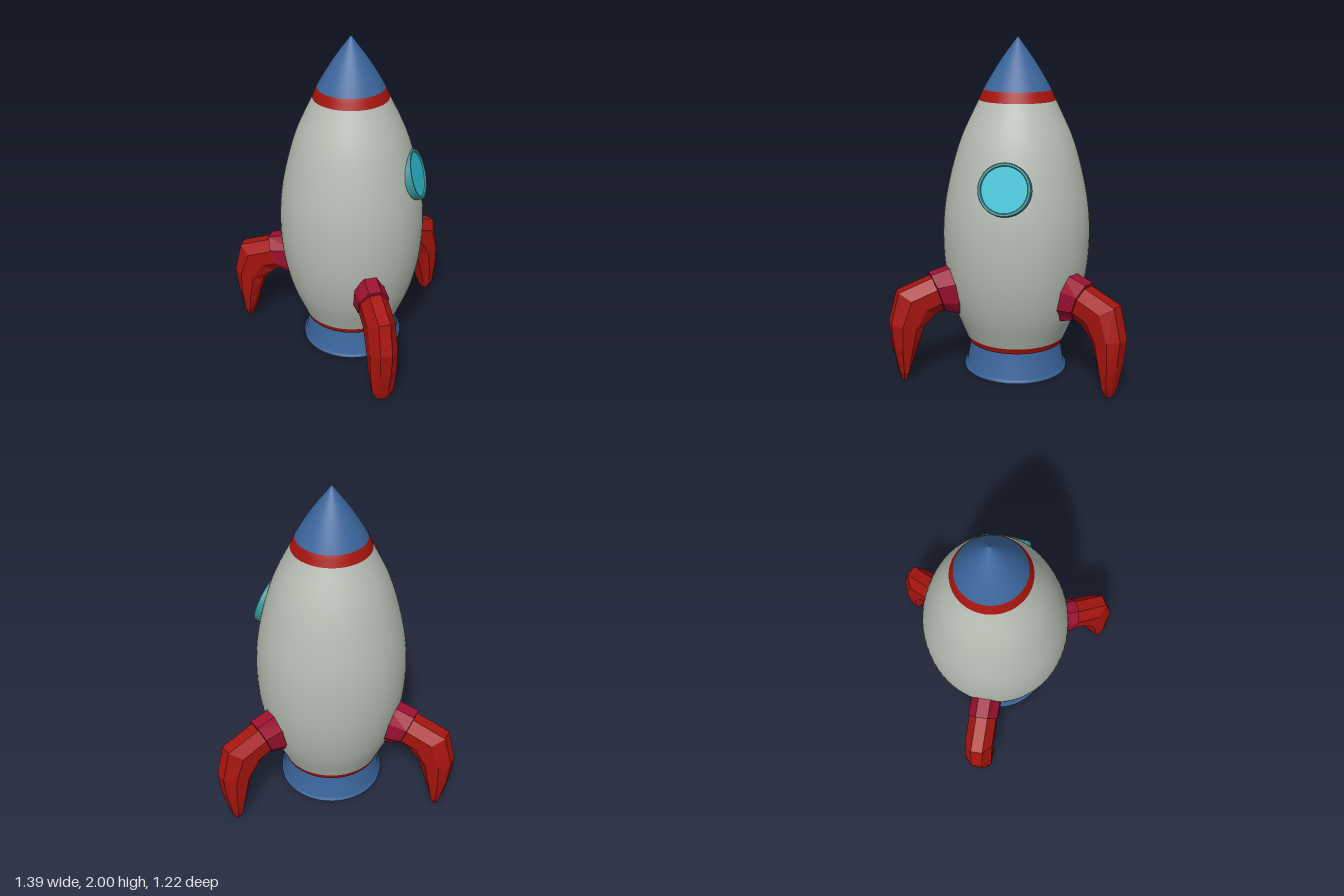
import * as THREE from 'three';

const RED = 0xa5140e, BLUE = 0x3a659b, GREY = 0xb5bcb2, CRIMSON = 0x9c1030;
const V2 = (x, y) => new THREE.Vector2(x, y);

function mesh(name, geometry, color, options = {}) {
  const m = new THREE.Mesh(geometry, new THREE.MeshStandardMaterial({ color, ...options }));
  m.name = name;
  return m;
}

// Hull outline as [radius, height]; the colour bands split at its points
const OUTLINE = [
  [0.29, 0.18], [0.303, 0.215], [0.375, 0.4], [0.42, 0.6], [0.436, 0.8], [0.427, 1.0],
  [0.39, 1.2], [0.325, 1.42], [0.223, 1.64], [0.197, 1.7], [0.108, 1.85], [0, 2],
];
const hullCurve = new THREE.CatmullRomCurve3(OUTLINE.map(([r, y]) => new THREE.Vector3(r, y, 0)));

// Revolved slice of the hull between two outline points
function hullBand(name, from, to, color) {
  const steps = (to - from) * 6, points = [];
  for (let i = 0; i <= steps; i++) {
    const p = hullCurve.getPoint((from + i / 6) / (OUTLINE.length - 1));
    points.push(V2(Math.max(p.x, 0), p.y));
  }
  return mesh(name, new THREE.LatheGeometry(points, 72), color);
}

// Octagonal beam through sections [outerR, outerY, innerR, innerY, halfWidth]
function beam(sections) {
  const N = 8, k = 1 / Math.cos(Math.PI / N), pos = [], index = [];
  for (const [or, oy, ir, iy, w] of sections) {
    for (let i = 0; i < N; i++) {
      const a = ((i + 0.5) / N) * Math.PI * 2;
      const c = Math.cos(a) * k, s = Math.sin(a) * k;
      pos.push(w * c, (oy + iy) / 2 + ((oy - iy) / 2) * s, (or + ir) / 2 + ((or - ir) / 2) * s);
    }
  }
  const last = (sections.length - 1) * N;
  for (let s = 0; s < last; s += N) {
    for (let i = 0; i < N; i++) {
      const j = (i + 1) % N;
      index.push(s + i, s + j, s + N + j, s + i, s + N + j, s + N + i);
    }
  }
  for (let i = 1; i < N - 1; i++) {
    index.push(0, i + 1, i, last, last + i, last + i + 1);
  }
  const g = new THREE.BufferGeometry();
  g.setAttribute('position', new THREE.Float32BufferAttribute(pos, 3));
  g.setIndex(index);
  const flat = g.toNonIndexed();
  flat.computeVertexNormals();
  return flat;
}

function createLeg(name, angle) {
  const leg = new THREE.Group();
  leg.name = name;
  leg.add(mesh('legSocket', beam([
    [0.36, 0.685, 0.3, 0.36, 0.09],
    [0.54, 0.637, 0.46, 0.41, 0.09],
  ]), CRIMSON, { flatShading: true }));
  leg.add(mesh('legStrut', beam([
    [0.535, 0.618, 0.465, 0.415, 0.084],
    [0.735, 0.548, 0.515, 0.395, 0.084],
    [0.783, 0.36, 0.588, 0.32, 0.084],
    [0.768, 0.21, 0.632, 0.185, 0.08],
    [0.738, 0.06, 0.672, 0.055, 0.064],
    [0.722, 0.003, 0.69, 0.003, 0.036],
  ]), RED, { flatShading: true }));
  leg.rotation.y = angle;
  return leg;
}

// Round porthole built along +y, then tilted to the hull's slope
function createPorthole() {
  const porthole = new THREE.Group();
  porthole.name = 'porthole';
  const rim = [[0.15, -0.05], [0.15, 0], [0.146, 0.006], [0.134, 0.006], [0.13, 0], [0.13, -0.01]];
  porthole.add(mesh('portholeRim', new THREE.LatheGeometry(rim.map(p => V2(...p)), 48), 0x3a959b,
    { flatShading: true, side: THREE.DoubleSide }));
  const glass = mesh('portholeGlass', new THREE.CylinderGeometry(0.132, 0.132, 0.03, 48), 0x2fbfd2);
  glass.position.y = -0.018;
  porthole.add(glass);
  const around = Math.PI / 6, tilt = 0.3;
  const normal = new THREE.Vector3(
    Math.cos(around) * Math.cos(tilt), Math.sin(tilt), Math.sin(around) * Math.cos(tilt));
  porthole.quaternion.setFromUnitVectors(new THREE.Vector3(0, 1, 0), normal);
  porthole.position.set(Math.cos(around) * 0.402, 1.193, Math.sin(around) * 0.402);
  return porthole;
}

export function createModel() {
  const rocket = new THREE.Group();
  rocket.name = 'rocket';

  // Hull with its coloured bands
  rocket.add(
    hullBand('lowerBand', 0, 1, RED),
    hullBand('hull', 1, 8, GREY),
    hullBand('upperBand', 8, 9, RED),
    hullBand('noseCone', 9, 11, BLUE),
  );

  // Underside: red lip around a grey floor
  const lip = mesh('lowerLip', new THREE.RingGeometry(0.255, 0.29, 72), RED);
  const floor = mesh('hullFloor', new THREE.CircleGeometry(0.262, 72), GREY);
  for (const part of [lip, floor]) part.rotation.x = Math.PI / 2;
  lip.position.y = 0.18;
  floor.position.y = 0.178;
  rocket.add(lip, floor);

  // Open nozzle skirt with a flanged foot
  const skirt = [[0.262, 0.18], [0.29, 0.02], [0.306, 0], [0.312, 0], [0.312, 0.016], [0.298, 0.02], [0.27, 0.18]];
  rocket.add(mesh('nozzle', new THREE.LatheGeometry(skirt.map(p => V2(...p)), 72), BLUE,
    { side: THREE.DoubleSide }));

  // Three legs spaced evenly around the hull
  ['frontLeg', 'backLeftLeg', 'backRightLeg'].forEach((name, i) =>
    rocket.add(createLeg(name, (i * Math.PI * 2) / 3)));

  rocket.add(createPorthole());
  rocket.position.z = -0.175;

  const model = new THREE.Group();
  model.name = 'rocketModel';
  model.add(rocket);
  return model;
}
